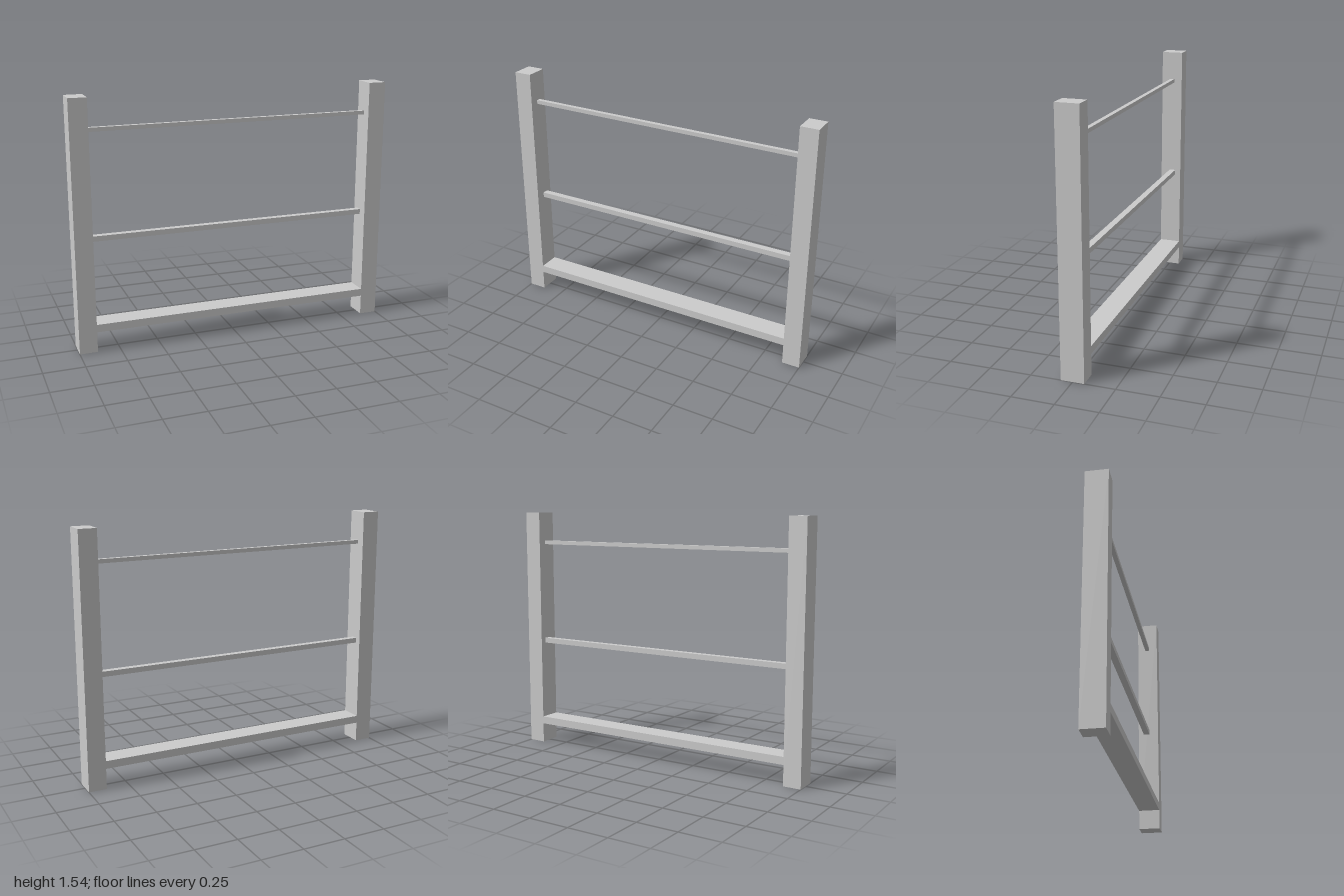
import * as THREE from 'three';

const POST_WIDTH = 0.11;
const HEIGHT = 1.545;
const DEPTH = 0.138;
const SPAN = 2 - 2 * POST_WIDTH;

export function createModel() {
  const group = new THREE.Group();
  group.name = 'rack';
  const material = new THREE.MeshStandardMaterial({ color: 0xcccccc, flatShading: true });

  const addBox = (name, width, height, depth, x, y, z) => {
    const mesh = new THREE.Mesh(new THREE.BoxGeometry(width, height, depth), material);
    mesh.name = name;
    mesh.position.set(x, y, z);
    group.add(mesh);
  };

  // Upright posts at both ends
  for (const side of [-1, 1]) {
    addBox(side > 0 ? 'leftPost' : 'rightPost', POST_WIDTH, HEIGHT, DEPTH,
      side * (1 - POST_WIDTH / 2), HEIGHT / 2, 0);
  }

  // Full-depth bottom board and the two thin bars between the posts
  addBox('bottomBoard', SPAN, 0.048, DEPTH, 0, 0.151, 0);
  addBox('middleBar', SPAN, 0.032, 0.04, 0, 0.695, -0.012);
  addBox('topBar', SPAN, 0.024, 0.028, 0, 1.35, -0.002);

  return group;
}
